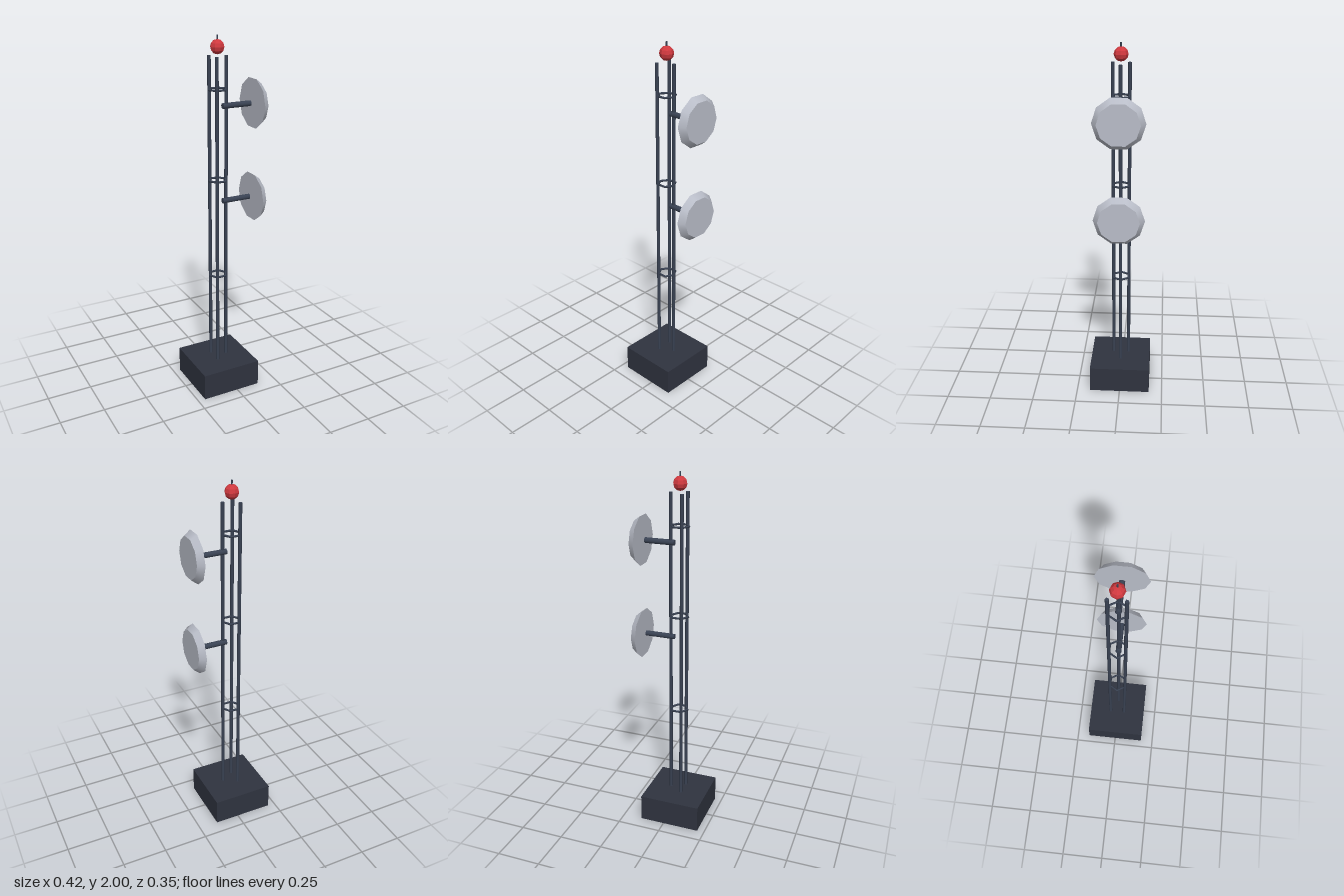
import * as THREE from 'three';

export function createModel() {
  const root = new THREE.Group();
  const mat = (color, flat = false) => new THREE.MeshStandardMaterial({ color, flatShading: flat });
  const baseMat = mat(0x2f333f);
  const steel = mat(0x3a4354);
  const dishMat = mat(0xb9bdc8);
  const red = mat(0xd0393f, true);

  // Everything but the dishes is centred on the mast axis
  const mast = new THREE.Group();
  mast.name = 'mast';
  mast.position.x = -0.035;
  root.add(mast);

  const add = (name, geometry, material, x, y, z) => {
    const mesh = new THREE.Mesh(geometry, material);
    mesh.name = name;
    mesh.position.set(x, y, z);
    mast.add(mesh);
    return mesh;
  };

  // Foundation block
  add('base', new THREE.BoxGeometry(0.347, 0.152, 0.347), baseMat, 0, 0.076, 0);

  // Three upright poles
  const poleGeo = new THREE.CylinderGeometry(0.0095, 0.0095, 1.747, 6);
  for (let i = 0; i < 3; i++) {
    const a = (i * Math.PI * 2) / 3;
    add('pole', poleGeo, steel, 0.051 * Math.cos(a), 1.0235, 0.051 * Math.sin(a));
  }

  // Hexagonal bracing rings
  const ringGeo = new THREE.TorusGeometry(0.049, 0.006, 6, 6).rotateX(Math.PI / 2);
  for (const y of [0.68, 1.238, 1.727]) add('braceRing', ringGeo, steel, 0, y, 0);

  // Dishes on horizontal arms, wide rim towards the mast
  const armGeo = new THREE.CylinderGeometry(0.0155, 0.0155, 0.166, 8).rotateZ(-Math.PI / 2);
  const dishGeo = new THREE.CylinderGeometry(0.112, 0.138, 0.034, 10).rotateZ(-Math.PI / 2);
  // Turn the ten-sided rim so that its corners lie on the z axis
  for (const y of [1.114, 1.637]) {
    add('dishArm', armGeo, steel, 0.113, y, 0);
    add('dish', dishGeo, dishMat, 0.225, y, 0);
  }

  // Warning lamp with a short spike
  add('beacon', new THREE.SphereGeometry(0.038, 8, 6), red, 0, 1.942, 0);
  add('beaconSpike', new THREE.CylinderGeometry(0.0045, 0.0045, 0.03, 6), steel, 0, 1.985, 0);

  return root;
}
